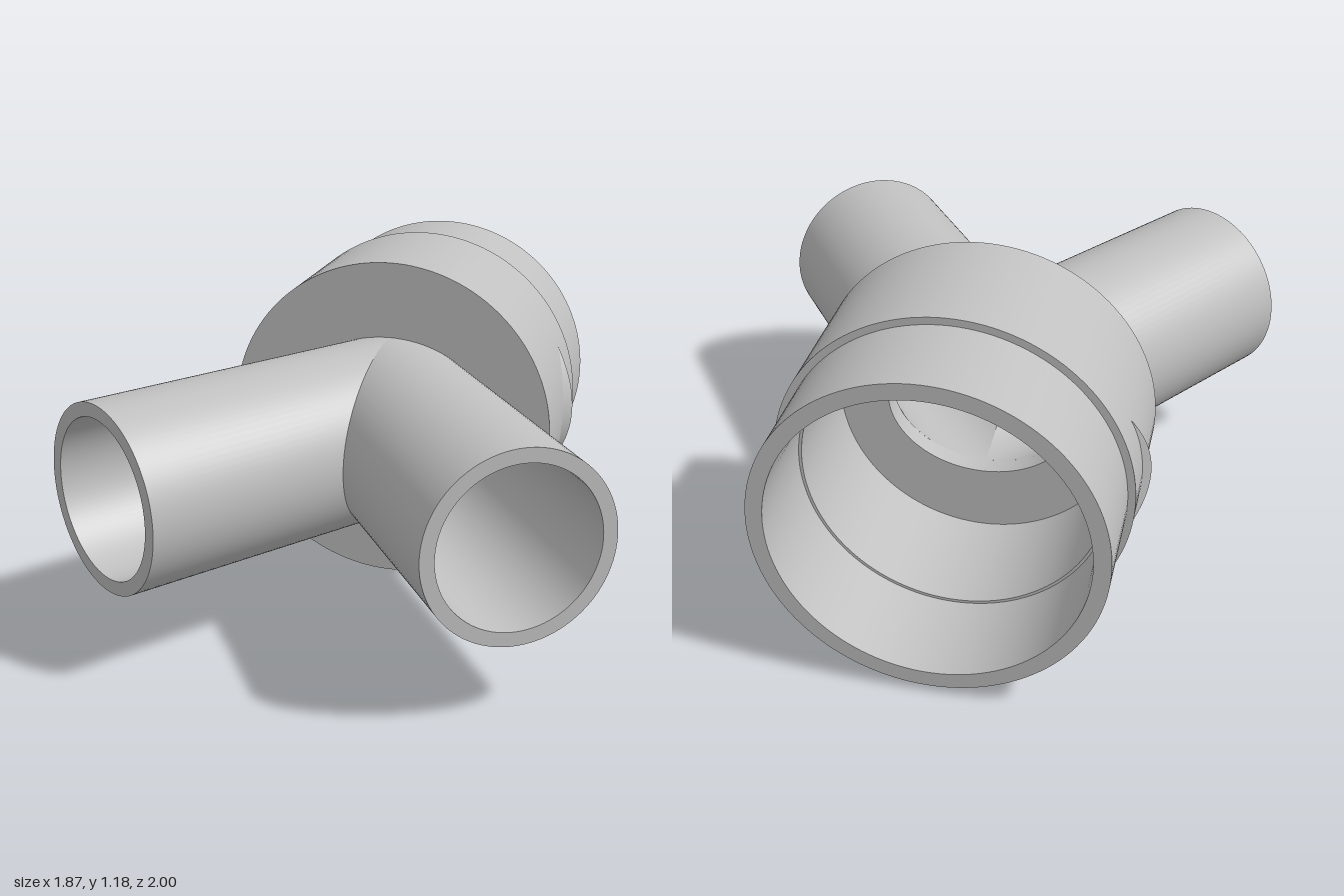
import * as THREE from 'three';
import { toCreasedNormals } from 'three/addons/utils/BufferGeometryUtils.js';

const CY = 0.59;          // height of all pipe axes
const FACE = -0.15;       // z of the body's front face
const FLOOR = -0.22;      // z of the bore floor
const ANGLE = THREE.MathUtils.degToRad(35);
const SIN = Math.sin(ANGLE), COS = Math.cos(ANGLE);
const PIPE_R = 0.318, PIPE_BORE = 0.27, PIPE_LENGTH = 1.177;

// Surface through a grid of points; side = -1 mirrors it across x = 0
function gridSurface(columns, rows, point, side) {
  const positions = [], index = [];
  for (let i = 0; i <= columns; i++) {
    for (let j = 0; j < rows; j++) {
      const [x, y, z] = point(i / columns, j);
      positions.push(side * x, y, z);
    }
  }
  for (let i = 0; i < columns; i++) {
    for (let j = 0; j < rows - 1; j++) {
      const a = i * rows + j, b = a + rows, c = b + 1, d = a + 1;
      if (side > 0) index.push(a, b, c, a, c, d);
      else index.push(a, c, b, a, d, c);
    }
  }
  const geometry = new THREE.BufferGeometry();
  geometry.setAttribute('position', new THREE.Float32BufferAttribute(positions, 3));
  geometry.setIndex(index);
  return toCreasedNormals(geometry, 0.5);
}

// Hollow pipe, mitred at the centre plane and cut off at the body face
function branchPoint(u, row) {
  const theta = u * Math.PI * 2;
  const r = row < 2 ? PIPE_R : PIPE_BORE;
  const across = r * Math.cos(theta);
  const start = Math.max(-across * COS / SIN, across * SIN / COS);
  const t = row === 0 || row === 3 ? start : PIPE_LENGTH;
  return [across * COS + t * SIN, CY + r * Math.sin(theta), FACE - across * SIN + t * COS];
}

// Crescent grip: back base, raised ridge and front base, meeting at both tips
function gripPoint(u, row) {
  const s = u * 2 - 1, bulge = 1 - s * s;
  const y = 0.22 * s;
  const onBody = Math.sqrt(0.59 * 0.59 - y * y);
  const x = row === 1 ? 0.547 + 0.07 * bulge : onBody - 0.001;
  const z = -0.53 + [0.03, 0.05, 0.1][row] * bulge;
  return [x, CY + y, z];
}

export function createModel() {
  const model = new THREE.Group();
  const grey = new THREE.MeshStandardMaterial({ color: 0xc0c0c0 });
  grey.name = 'light grey';

  const add = (name, geometry) => {
    const mesh = new THREE.Mesh(geometry, grey);
    mesh.name = name;
    model.add(mesh);
    return mesh;
  };

  // Body and socket collar, turned about the z axis (radius, distance back)
  const profile = [
    [0.5, -FACE], [0.59, -FACE], [0.59, 0.66], [0.565, 0.66], [0.565, 1],
    [0.51, 1], [0.51, 0.65], [0.5, 0.65], [0.5, -FLOOR],
  ].map(([r, d]) => new THREE.Vector2(r, d));
  const body = new THREE.LatheGeometry(profile, 128).rotateX(-Math.PI / 2);
  add('bodyAndCollar', toCreasedNormals(body, 0.5)).position.y = CY;

  // Front wall with the opening shared by both pipes
  const wall = new THREE.Shape().absarc(0, 0, 0.5, 0, Math.PI * 2, false);
  wall.holes.push(new THREE.Path().absellipse(0, 0, PIPE_BORE / COS, PIPE_BORE, 0, Math.PI * 2, true));
  const wallGeometry = new THREE.ExtrudeGeometry(wall, {
    depth: FACE - FLOOR, bevelEnabled: false, curveSegments: 64,
  });
  add('frontWall', toCreasedNormals(wallGeometry, 0.5)).position.set(0, CY, FLOOR);

  // Mirrored branch pipes and grips
  for (const [label, side] of [['left', 1], ['right', -1]]) {
    add(label + 'BranchPipe', gridSurface(96, 4, branchPoint, side));
    add(label + 'Grip', gridSurface(24, 3, gripPoint, side));
  }
  return model;
}
